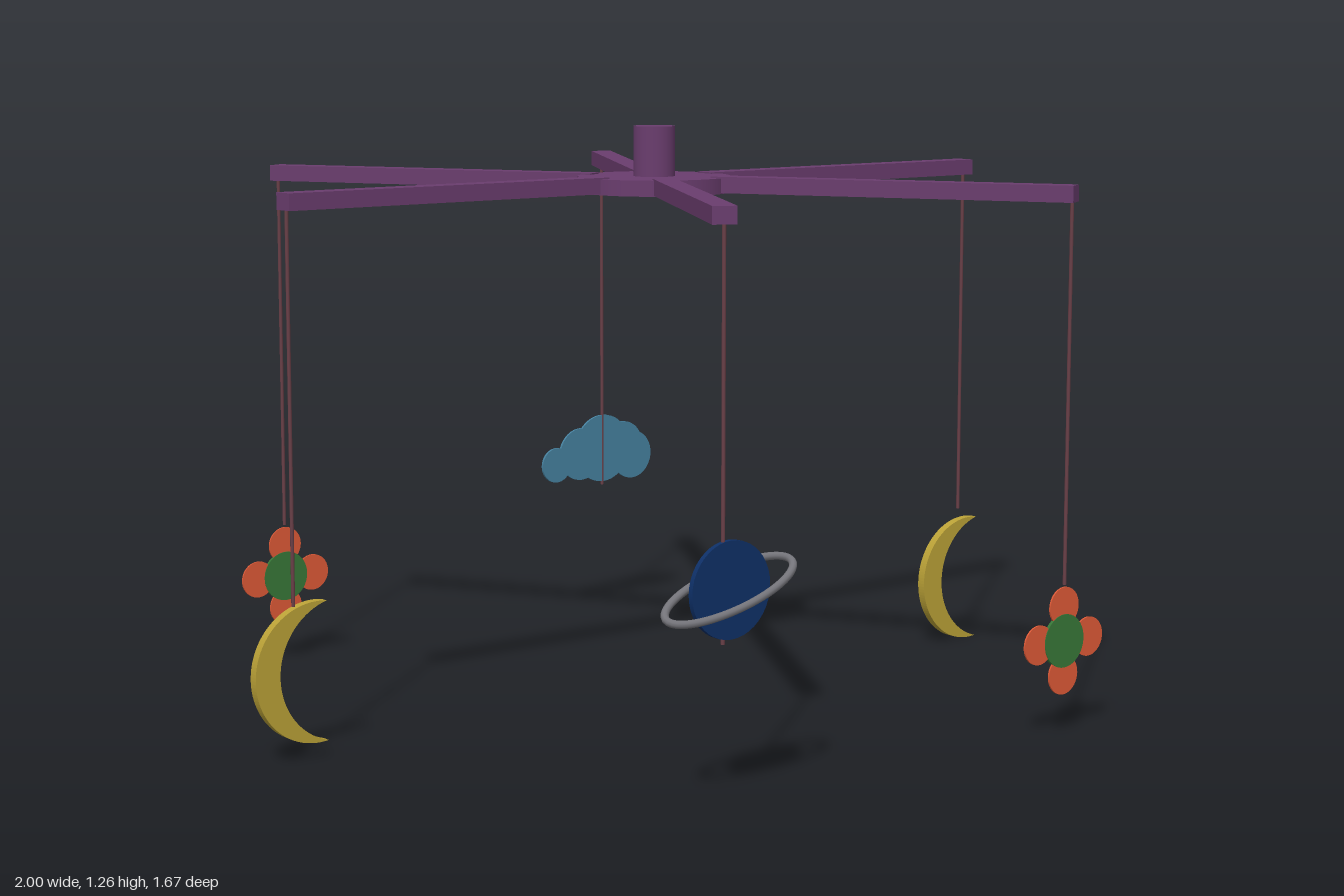
import * as THREE from 'three';

const CX = 0.018, CZ = -0.021; // axis of the hub
const ARM_TOP = 1.155, ARM_BOTTOM = 1.12, ARM_END = 0.933, STRING_R = 0.925;

const mat = (color) => new THREE.MeshStandardMaterial({ color });
const purple = mat(0x6a3d6e), cord = mat(0x6a4048), gold = mat(0xbba237), red = mat(0xe05a37);
const green = mat(0x387838), navy = mat(0x0e3068), blue = mat(0x4682a0), grey = mat(0x74747a);

function add(parent, name, geometry, material, x = 0, y = 0, z = 0) {
  const mesh = new THREE.Mesh(geometry, material);
  mesh.name = name;
  mesh.position.set(x, y, z);
  parent.add(mesh);
  return mesh;
}

function group(parent, name, x, y, z) {
  const g = new THREE.Group();
  g.name = name;
  g.position.set(x, y, z);
  parent.add(g);
  return g;
}

// Thin round plate facing +z
const disc = (r, depth) => new THREE.CylinderGeometry(r, r, depth, 40).rotateX(Math.PI / 2);

// Crescent between an outer arc and a shifted inner arc, open towards +x
function crescent(parent, x, y, z) {
  const R = 0.147, tipX = 0.022, innerX = 0.061;
  const tipY = Math.sqrt(R * R - tipX * tipX);
  const outer = Math.atan2(tipY, tipX);
  const inner = Math.atan2(tipY, tipX - innerX);
  const shape = new THREE.Shape();
  shape.absarc(0, 0, R, outer, 2 * Math.PI - outer, false);
  shape.absarc(innerX, 0, Math.hypot(tipY, tipX - innerX), 2 * Math.PI - inner, inner, true);
  const geo = new THREE.ExtrudeGeometry(shape, { depth: 0.02, bevelEnabled: false, curveSegments: 36 });
  add(parent, 'moon', geo.translate(0, 0, -0.01), gold, x, y, z);
}

// Four petals around a green middle
function flower(parent, x, z) {
  const g = group(parent, 'flower', x, 0.2, z);
  for (let i = 0; i < 4; i++) {
    const a = i * Math.PI / 2;
    add(g, 'petal', disc(0.042, 0.004), red, 0.073 * Math.cos(a), 0.073 * Math.sin(a), 0);
  }
  add(g, 'flowerCentre', disc(0.057, 0.007), green);
}

// Flat planet with a tilted oval ring
function planet(parent, x, z) {
  const g = group(parent, 'planet', x, 0.424, z);
  add(g, 'planetDisc', disc(0.096, 0.011), navy);
  const long = new THREE.Vector3(0.155, 0.038, 0), short = new THREE.Vector3(0, 0.028, -0.038);
  const points = [];
  for (let i = 0; i < 32; i++) {
    const a = i / 32 * 2 * Math.PI;
    points.push(new THREE.Vector3().addScaledVector(long, Math.cos(a)).addScaledVector(short, Math.sin(a)));
  }
  const path = new THREE.CatmullRomCurve3(points, true);
  add(g, 'planetRing', new THREE.TubeGeometry(path, 96, 0.008, 10, true), grey);
}

// Cloud of overlapping round plates: x, y, radius
function cloud(parent, x, z) {
  const g = group(parent, 'cloud', x, 0.4, z);
  const puffs = [[-0.142, -0.018, 0.043], [-0.067, 0.003, 0.065], [0, 0.012, 0.084],
    [0.063, 0.012, 0.062], [0.092, -0.012, 0.06]];
  for (const [px, py, r] of puffs) add(g, 'cloudPuff', disc(r, 0.006), blue, px, py, 0);
}

export function createModel() {
  const model = new THREE.Group();
  model.name = 'hangingMobile';

  // Hub and the knob on top of it
  add(model, 'hub', new THREE.CylinderGeometry(0.166, 0.166, 0.034, 40), purple, CX, 1.135, CZ);
  add(model, 'knob', new THREE.CylinderGeometry(0.045, 0.045, 0.11, 32), purple, CX, 1.205, CZ);

  // Six arms, each with a string near its tip
  const armStart = 0.14, armLength = ARM_END - armStart;
  const tips = [];
  for (let i = 0; i < 6; i++) {
    const a = i * Math.PI / 3;
    const arm = group(model, 'arm', CX, 0, CZ);
    arm.rotation.y = a;
    add(arm, 'armBar', new THREE.BoxGeometry(armLength, ARM_TOP - ARM_BOTTOM, 0.048), purple,
      armStart + armLength / 2, (ARM_TOP + ARM_BOTTOM) / 2, 0);
    add(arm, 'string', new THREE.CylinderGeometry(0.004, 0.004, 0.81, 8), cord, STRING_R, 0.725, 0);
    tips.push([CX + STRING_R * Math.cos(a), CZ - STRING_R * Math.sin(a)]);
  }

  // Hanging figures, counter-clockwise from the left arm
  crescent(model, tips[0][0] + 0.03, 0.15, tips[0][1]);
  cloud(model, ...tips[1]);
  flower(model, ...tips[2]);
  crescent(model, tips[3][0] + 0.051, 0.18, tips[3][1]);
  planet(model, tips[4][0] + 0.017, tips[4][1]);
  flower(model, ...tips[5]);

  return model;
}
